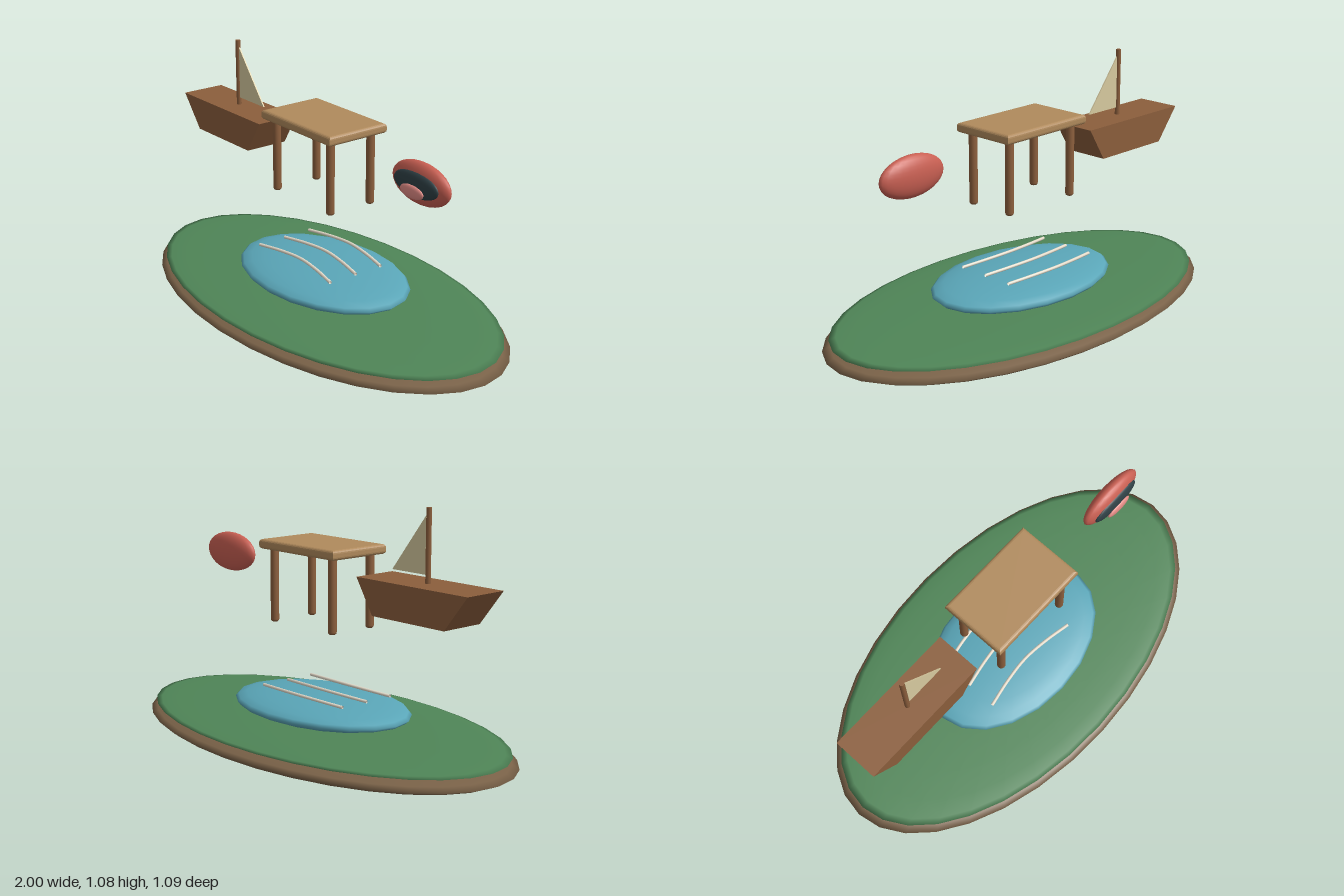
import * as THREE from 'three';

const mat = (color, side = THREE.FrontSide) => new THREE.MeshStandardMaterial({ color, side });

function add(parent, name, geometry, material, x = 0, y = 0, z = 0) {
  const mesh = new THREE.Mesh(geometry, material);
  mesh.name = name;
  mesh.position.set(x, y, z);
  parent.add(mesh);
  return mesh;
}

function group(parent, name) {
  const g = new THREE.Group();
  g.name = name;
  parent.add(g);
  return g;
}

// Sphere squashed to three radii
const ellipsoid = (rx, ry, rz, w, h) => new THREE.SphereGeometry(1, w, h).scale(rx, ry, rz);

// Flat outline extruded along z and centred on z = 0
function slab(points, depth) {
  const shape = new THREE.Shape(points.map(([x, y]) => new THREE.Vector2(x, y)));
  return new THREE.ExtrudeGeometry(shape, { depth, bevelEnabled: false }).translate(0, 0, -depth / 2);
}

export function createModel() {
  const model = new THREE.Group();
  model.name = 'pondIsland';

  const wood = mat(0x8b5e3c);
  const tableWood = mat(0xb08a5c);

  // Island: soil, grass and pond as stacked flat ellipsoids
  const island = group(model, 'island');
  add(island, 'soil', ellipsoid(1, 0.06, 0.545, 32, 12), mat(0x7a6248), 0, 0.06, 0);
  add(island, 'grass', ellipsoid(0.97, 0.021, 0.525, 32, 12), mat(0x4f8557), 0, 0.103, 0);
  add(island, 'pond', ellipsoid(0.455, 0.053, 0.3, 20, 12), mat(0x5aa6b8), 0, 0.173, 0);

  // Three curved ripples above the pond
  const rippleMat = mat(0xe6ddcc, THREE.DoubleSide);
  for (const z of [-0.135, 0, 0.135]) {
    const path = new THREE.CatmullRomCurve3([
      [-0.28, 0.241, 0], [-0.155, 0.249, -0.022], [-0.03, 0.253, -0.033],
      [0.095, 0.249, -0.022], [0.22, 0.241, 0],
    ].map((p) => new THREE.Vector3(...p)));
    add(island, 'ripple', new THREE.TubeGeometry(path, 20, 0.007, 8), rippleMat, 0, 0, z);
  }

  // Boat: trapezoid hull, round mast, thin triangular sail
  const boat = group(model, 'boat');
  add(boat, 'hull', slab([[-0.295, 0.78], [-0.18, 0.635], [0.205, 0.635], [0.295, 0.78]], 0.2), wood, -0.615);
  add(boat, 'mast', new THREE.CylinderGeometry(0.011, 0.011, 0.3, 12), wood, -0.615, 0.925);
  add(boat, 'sail', slab([[-0.603, 0.813], [-0.423, 0.813], [-0.603, 1.043]], 0.006), mat(0xd8cba0, THREE.DoubleSide));

  // Table: slab with rounded rim
  const table = group(model, 'table');
  const b = 0.014;
  const w = 0.232 - b;
  const d = 0.148 - b;
  const rim = new THREE.Shape([[-w, -d], [w, -d], [w, d], [-w, d]].map(([x, y]) => new THREE.Vector2(x, y)));
  const top = new THREE.ExtrudeGeometry(rim, {
    depth: 0.042 - 2 * b, bevelThickness: b, bevelSize: b, bevelSegments: 4,
  });
  top.rotateX(-Math.PI / 2).translate(0, b, 0);
  add(table, 'tableTop', top, tableWood, -0.002, 0.835, 0);

  // Four round legs with softened ends
  const legProfile = [[0, 0], [0.012, 0], [0.0165, 0.004], [0.018, 0.01], [0.018, 0.315], [0, 0.315]]
    .map(([x, y]) => new THREE.Vector2(x, y));
  const leg = new THREE.LatheGeometry(legProfile, 16);
  for (const sx of [-1, 1]) {
    for (const sz of [-1, 1]) {
      add(table, 'tableLeg', leg, wood, -0.002 + sx * 0.182, 0.524, sz * 0.105);
    }
  }

  // Mouth: lips, dark opening and tongue, each set further forward
  const mouth = group(model, 'mouth');
  add(mouth, 'lips', ellipsoid(0.162, 0.087, 0.043, 24, 16), mat(0xc85f52), 0.61, 0.766, 0);
  add(mouth, 'opening', ellipsoid(0.126, 0.053, 0.022, 24, 16), mat(0x2f4045), 0.61, 0.767, 0.029);
  add(mouth, 'tongue', ellipsoid(0.066, 0.028, 0.013, 20, 12), mat(0xe08a84), 0.61, 0.743, 0.05);

  return model;
}
